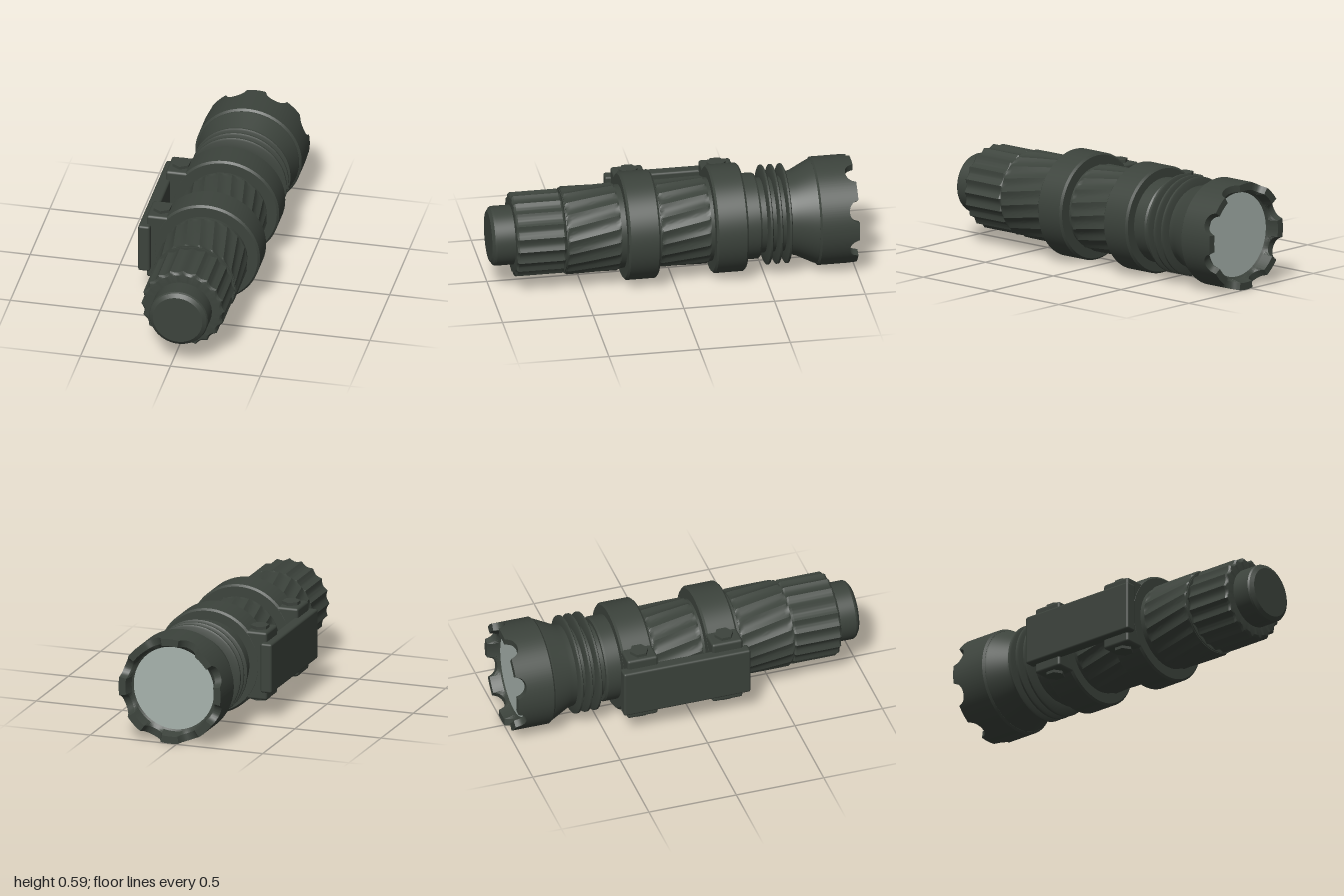
import * as THREE from 'three';
import { toCreasedNormals } from 'three/addons/utils/BufferGeometryUtils.js';
import { RoundedBoxGeometry } from 'three/addons/geometries/RoundedBoxGeometry.js';

const AXIS_X = 0.04, AXIS_Y = 0.296;

export function createModel() {
  const model = new THREE.Group();
  model.name = 'tacticalFlashlight';
  const housing = new THREE.MeshStandardMaterial({ color: 0x3c433c });
  housing.name = 'dark olive housing';
  const glass = new THREE.MeshStandardMaterial({ color: 0xa6b2ac });
  glass.name = 'pale lens';

  // The barrel group lies along z
  const barrel = new THREE.Group();
  barrel.name = 'barrel';
  barrel.position.set(AXIS_X, AXIS_Y, 0);
  model.add(barrel);

  function add(parent, name, geometry, material = housing) {
    const mesh = new THREE.Mesh(geometry, material);
    mesh.name = name;
    parent.add(mesh);
    return mesh;
  }

  // Turned part from [radius, z] points; reshape may alter each vertex {r, a, z}
  function turned(name, profile, segments = 96, reshape = null) {
    const geo = new THREE.LatheGeometry(profile.map(([r, z]) => new THREE.Vector2(r, z)), segments);
    geo.rotateX(Math.PI / 2);
    if (reshape) {
      const pos = geo.attributes.position;
      for (let i = 0; i < pos.count; i++) {
        const x = pos.getX(i), y = pos.getY(i);
        const v = { r: Math.hypot(x, y), a: Math.atan2(y, x), z: pos.getZ(i) };
        reshape(v);
        pos.setXYZ(i, v.r * Math.cos(v.a), v.r * Math.sin(v.a), v.z);
      }
    }
    return add(barrel, name, toCreasedNormals(geo, 0.4));
  }

  // Concave grooves around the part, optionally twisted along it
  const fluted = (count, depth, minRadius, twist = 0) => (v) => {
    if (v.r > minRadius) v.r -= depth * Math.abs(Math.sin(v.a * count / 2));
    v.a += twist * v.z;
  };

  // Tail switch and fluted tail cap
  turned('tailButton', [[0.163, 0.84], [0.163, 0.975], [0.158, 0.985], [0.137, 1], [0, 1]]);
  turned('tailCap', [[0.2, 0.605], [0.225, 0.605], [0.232, 0.615], [0.232, 0.862],
    [0.224, 0.872], [0.207, 0.875], [0.15, 0.875]], 160, fluted(20, 0.014, 0.22));

  // Plain inner tube with twisted grip sleeves
  turned('bodyTube', [[0.1, -0.5], [0.228, -0.45], [0.228, 0.602], [0.15, 0.602]]);
  for (const [z0, z1] of [[0.3, 0.597], [-0.195, 0.08]]) {
    const profile = [[0.22, z0], [0.233, z0], [0.24, z0 + 0.01]];
    for (let i = 1; i < 10; i++) profile.push([0.24, z0 + (z1 - z0) * i / 10]);
    profile.push([0.24, z1 - 0.01], [0.233, z1], [0.22, z1]);
    turned('gripSleeve', profile, 160, fluted(20, 0.01, 0.236, -0.75));
  }
  turned('frontCollar', [[0.19, -0.475], [0.228, -0.475], [0.235, -0.465], [0.235, -0.38]]);

  // Neck, cooling fins and flared head
  turned('neck', [[0.205, -0.66], [0.205, -0.46]]);
  for (const z of [-0.52, -0.573, -0.626]) {
    turned('coolingFin', [[0.2, z - 0.014], [0.262, z - 0.01], [0.272, z - 0.005],
      [0.272, z + 0.005], [0.262, z + 0.01], [0.2, z + 0.014]]);
  }
  turned('flare', [[0.285, -0.79], [0.282, -0.775], [0.232, -0.675], [0.226, -0.64], [0.2, -0.64]]);

  // Crown: the rim is cut by eight rounded notches
  turned('crown', [[0.225, -0.925], [0.242, -0.94], [0.256, -1], [0.296, -1],
    [0.296, -0.795], [0.285, -0.785], [0.25, -0.785]], 320, (v) => {
    if (v.z > -0.999) return;
    const step = Math.PI / 4;
    const turns = v.a / step - 0.5;
    const off = (turns - Math.round(turns)) * step / 0.205;
    if (Math.abs(off) < 1) v.z += 0.052 * Math.sqrt(1 - off * off);
  });
  const lens = add(barrel, 'lens', new THREE.CircleGeometry(0.24, 96), glass);
  lens.rotation.y = Math.PI;
  lens.position.z = -0.932;

  // Mount: two clamp rings with blocks and hex bolts, joined by a side plate
  for (const z of [0.183, -0.302]) {
    const h = 0.088;
    turned('clampRing', [[0.2, z - h], [0.285, z - h], [0.296, z - h + 0.011],
      [0.296, z + h - 0.011], [0.285, z + h], [0.2, z + h]]);
    const block = add(model, 'clampBlock', new RoundedBoxGeometry(0.175, 0.385, 0.174, 2, 0.014));
    block.position.set(-0.2075, 0.2975, z);
    for (const side of [1, -1]) {
      const bolt = add(model, 'hexBolt',
        toCreasedNormals(new THREE.CylinderGeometry(0.052, 0.052, 0.04, 6), 0.4));
      bolt.position.set(-0.224, 0.298 + side * 0.189, z);
    }
  }
  const plate = add(model, 'mountPlate', new RoundedBoxGeometry(0.066, 0.28, 0.725, 2, 0.012));
  plate.position.set(-0.302, 0.298, -0.06);

  return model;
}
